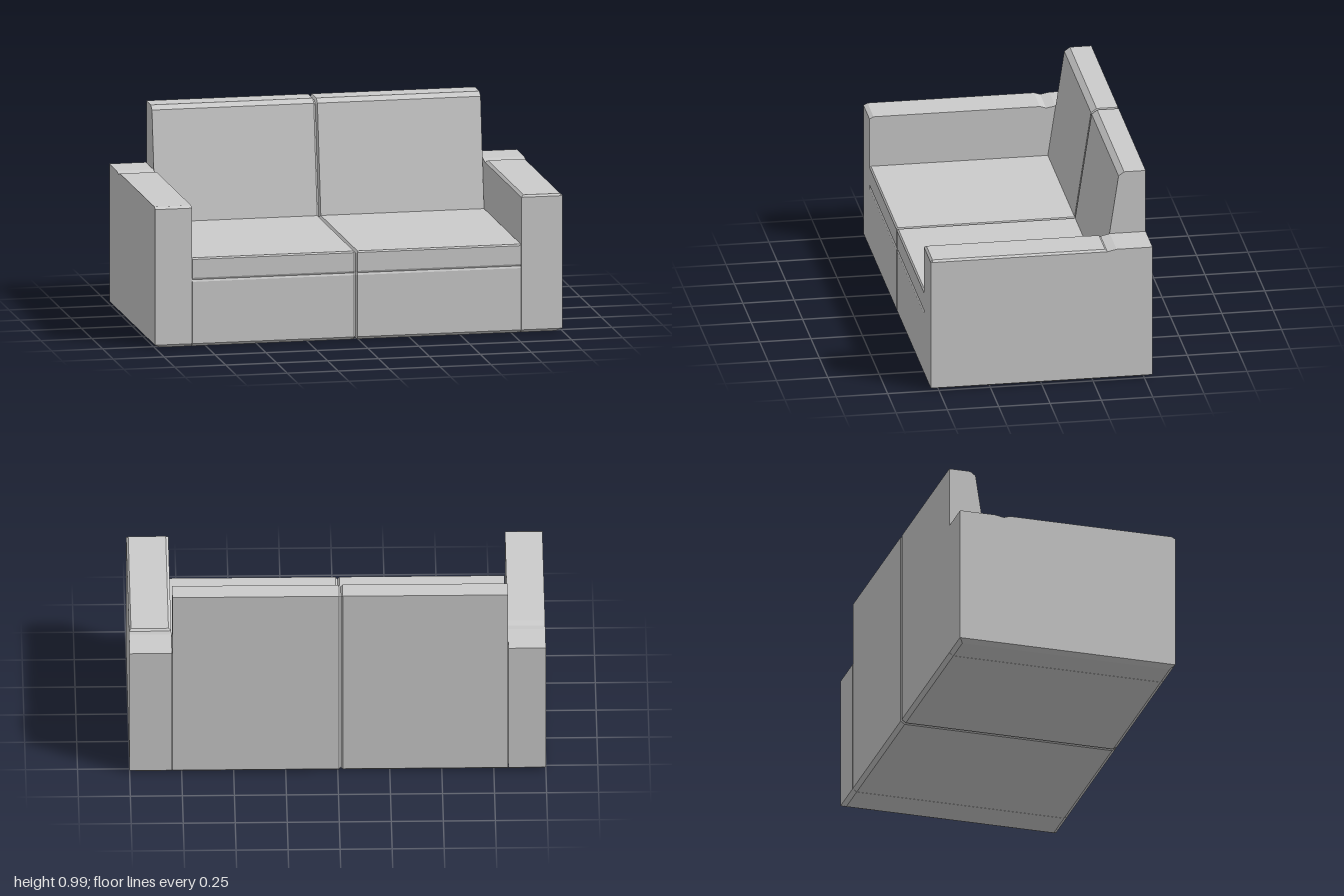
import * as THREE from 'three';

const material = new THREE.MeshStandardMaterial({ color: 0xcccccc, flatShading: true });

// Skins a row of side profiles ([z, y] points, front-bottom first, going up) placed along x.
function loft(name, sections) {
  const pos = [];
  const push = (...pts) => pts.forEach(([x, y, z]) => pos.push(x, y, z));
  const rings = sections.map(({ x, pts }) => pts.map(([z, y]) => [x, y, z]));
  const n = rings[0].length;
  for (let s = 0; s < rings.length - 1; s++) {
    const a = rings[s], b = rings[s + 1];
    for (let i = 0; i < n; i++) {
      const j = (i + 1) % n;
      push(a[i], b[i], b[j], a[i], b[j], a[j]);
    }
  }
  // End caps
  [[0, 1], [rings.length - 1, -1]].forEach(([s, side]) => {
    const r = rings[s];
    const flat = r.map(([, y, z]) => new THREE.Vector2(z, y));
    for (const [i, j, k] of THREE.ShapeUtils.triangulateShape(flat, [])) {
      const ccw = THREE.ShapeUtils.area([flat[i], flat[j], flat[k]]) * side > 0;
      if (ccw) push(r[i], r[j], r[k]);
      else push(r[i], r[k], r[j]);
    }
  });
  const geometry = new THREE.BufferGeometry();
  geometry.setAttribute('position', new THREE.Float32BufferAttribute(pos, 3));
  geometry.computeVertexNormals();
  const mesh = new THREE.Mesh(geometry, material);
  mesh.name = name;
  return mesh;
}

// Shrinks a counter-clockwise profile evenly by d.
function inset(pts, d) {
  const n = pts.length;
  const normal = (p, q) => {
    const l = Math.hypot(q[0] - p[0], q[1] - p[1]);
    return [-(q[1] - p[1]) / l, (q[0] - p[0]) / l];
  };
  return pts.map((p, i) => {
    const a = normal(pts[(i + n - 1) % n], p), b = normal(p, pts[(i + 1) % n]);
    const k = d / (1 + a[0] * b[0] + a[1] * b[1]);
    return [p[0] + (a[0] + b[0]) * k, p[1] + (a[1] + b[1]) * k];
  });
}

// Armrest profile: foot chamfer plus a list of top points.
const armProfile = (top, outer) => [
  outer ? [0.539, 0.014] : [0.52, 0],
  [0.54, 0.015],
  ...top,
  [-0.54, 0.015],
  outer ? [-0.539, 0.014] : [-0.52, 0],
];

export function createModel() {
  const group = new THREE.Group();
  group.name = 'sofa';

  // Seat and backrest, with a shallow crease across the front and a seam in the middle
  const seat = [
    [0.52, 0], [0.54, 0.015], [0.54, 0.318], [0.535, 0.328], [0.54, 0.338],
    [0.54, 0.428], [0.533, 0.435], [-0.328, 0.435], [-0.408, 0.97],
    [-0.435, 0.99], [-0.54, 0.99], [-0.54, 0.015], [-0.52, 0],
  ];
  const seam = inset(seat, 0.01);
  group.add(loft('seatAndBackrest', [
    { x: -0.818, pts: seat },
    { x: -0.024, pts: seat },
    { x: -0.015, pts: seam },
    { x: -0.006, pts: seat },
    { x: 0.795, pts: seat },
  ]));

  // Right armrest: ends of the top pad are chamfered, with a dip before the backrest
  const rightTop = [
    [0.54, 0.68], [0.52, 0.69], [-0.29, 0.69], [-0.32, 0.68], [-0.365, 0.688], [-0.54, 0.688],
  ];
  group.add(loft('rightArmrest', [
    { x: -1, pts: armProfile(rightTop, true) },
    { x: -0.97, pts: armProfile(rightTop, false) },
    { x: -0.82, pts: armProfile(rightTop, false) },
  ]));

  // Left armrest: the long edges of the top pad are chamfered
  const leftTop = (h) => [
    [0.54, 0.665], [0.53, h], [-0.31, h], [-0.32, 0.665], [-0.365, 0.675], [-0.54, 0.675],
  ];
  group.add(loft('leftArmrest', [
    { x: 0.797, pts: armProfile(leftTop(0.665), false) },
    { x: 0.81, pts: armProfile(leftTop(0.675), false) },
    { x: 0.97, pts: armProfile(leftTop(0.675), false) },
    { x: 0.99, pts: armProfile(leftTop(0.675), false).map(([z, y]) => [z, y === 0 ? 0.0095 : y]) },
    { x: 1, pts: armProfile(leftTop(0.665), true) },
  ]));

  return group;
}
